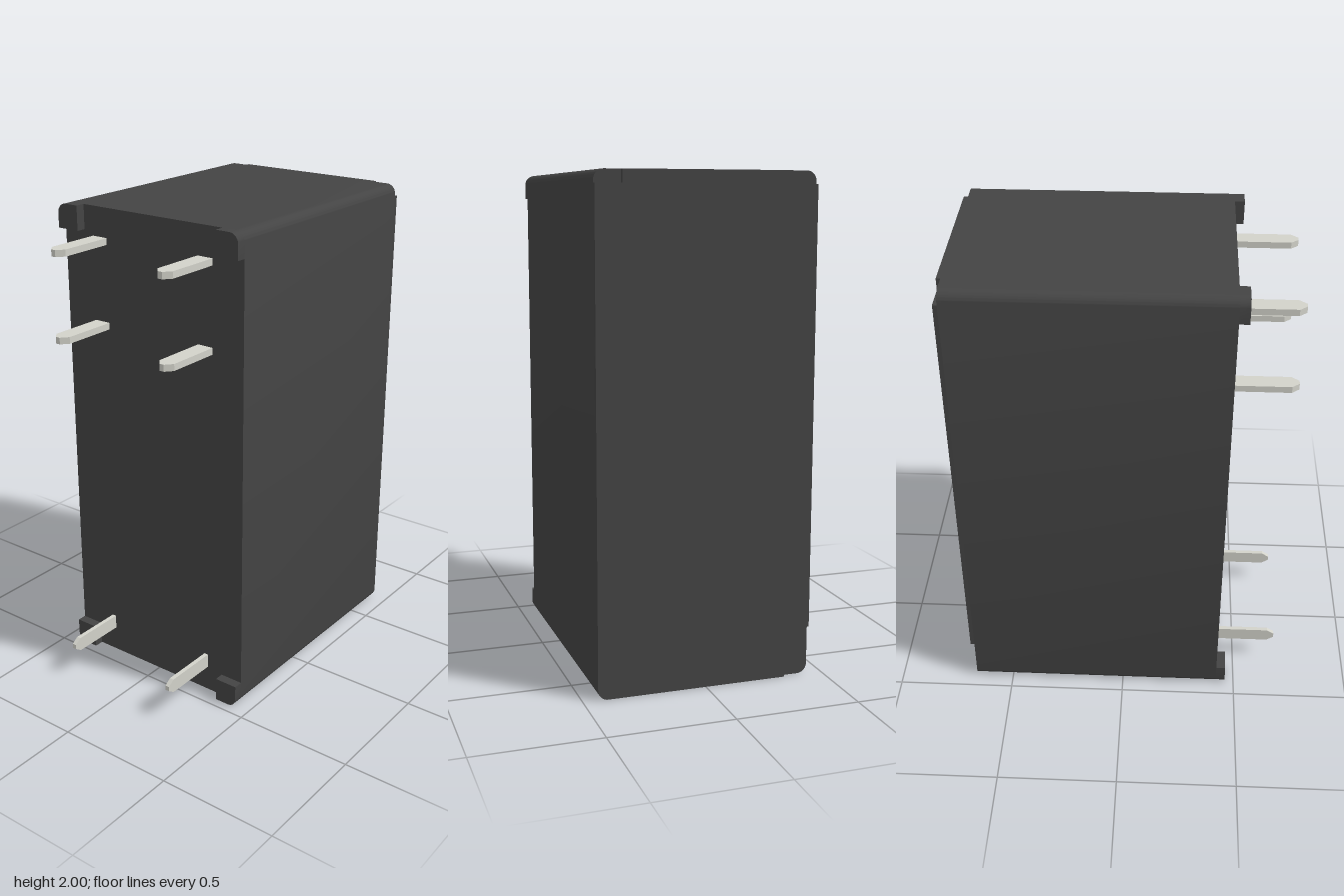
import * as THREE from 'three';
import { toCreasedNormals } from 'three/addons/utils/BufferGeometryUtils.js';

const W = 0.44, H = 2, R = 0.04;            // half width, height, long-edge radius
const BACK = -0.68, STEP = -0.663, FACE = 0.42, FOOT = 0.46, TIP = 0.68;

const caseMat = new THREE.MeshStandardMaterial({ color: 0x444444 });
const pinMat = new THREE.MeshStandardMaterial({ color: 0xd2d2ca });

// Extrude a shape along z between two depths, with smooth rounded corners
function slab(name, shape, z0, z1) {
  const raw = new THREE.ExtrudeGeometry(shape, { depth: z1 - z0, bevelEnabled: false, curveSegments: 8 });
  const mesh = new THREE.Mesh(toCreasedNormals(raw, Math.PI / 6), caseMat);
  mesh.position.z = z0;
  mesh.name = name;
  return mesh;
}

// Full outline of the case, rounded at all four corners
function caseShape() {
  const s = new THREE.Shape();
  s.absarc(W - R, R, R, -Math.PI / 2, 0);
  s.absarc(W - R, H - R, R, 0, Math.PI / 2);
  s.absarc(-W + R, H - R, R, Math.PI / 2, Math.PI);
  s.absarc(-W + R, R, R, Math.PI, Math.PI * 1.5);
  s.closePath();
  return s;
}

// Outline of the back panel, with three corners cut away
function backShape() {
  const n = 0.335, top = 1.95, low = 0.2;
  const s = new THREE.Shape();
  s.moveTo(-n, 0);
  s.lineTo(W - R, 0);
  s.absarc(W - R, R, R, -Math.PI / 2, 0);
  for (const [x, y] of [[W, top], [n, top], [n, H], [-n, H], [-n, top], [-W, top], [-W, low], [-n, low]]) s.lineTo(x, y);
  s.closePath();
  return s;
}

// Square foot at a corner, rounded on its outer corner
function footShape(sx, isTop) {
  const inner = 0.34, size = 0.1;
  const Y = y => (isTop ? H - y : y);
  const s = new THREE.Shape();
  s.moveTo(sx * inner, Y(0));
  s.lineTo(sx * (W - R), Y(0));
  for (let i = 1; i <= 8; i++) {
    const a = (i / 8) * Math.PI / 2;
    s.lineTo(sx * (W - R + R * Math.sin(a)), Y(R - R * Math.cos(a)));
  }
  s.lineTo(sx * W, Y(size));
  s.lineTo(sx * inner, Y(size));
  s.closePath();
  return s;
}

// Flat contact pin with a chamfered tip, pointing along +z
function pin(name, width, thick, x, y, upright) {
  const h = width / 2, tip = 0.01, z0 = FACE - 0.02;
  const s = new THREE.Shape([[-h, z0], [h, z0], [h, 0.65], [tip, TIP], [-tip, TIP], [-h, 0.65]]
    .map(([a, b]) => new THREE.Vector2(a, b)));
  const geo = new THREE.ExtrudeGeometry(s, { depth: thick, bevelEnabled: false });
  geo.translate(0, 0, -thick / 2).rotateX(Math.PI / 2);
  if (upright) geo.rotateZ(Math.PI / 2);
  const mesh = new THREE.Mesh(geo, pinMat);
  mesh.position.set(x, y, 0);
  mesh.name = name;
  return mesh;
}

export function createModel() {
  const model = new THREE.Group();
  model.name = 'relay';
  model.add(slab('caseBody', caseShape(), STEP, FACE));
  model.add(slab('backPanel', backShape(), BACK, STEP));

  for (const sx of [1, -1]) {
    const side = sx > 0 ? 'left' : 'right';
    for (const isTop of [false, true]) {
      model.add(slab(`${side}${isTop ? 'Upper' : 'Lower'}Foot`, footShape(sx, isTop), FACE, FOOT));
    }
    // Two flat contacts near the top, one upright coil pin at the bottom
    model.add(pin(`${side}UpperContact`, 0.07, 0.027, sx * 0.26, 1.867, false));
    model.add(pin(`${side}LowerContact`, 0.07, 0.027, sx * 0.26, 1.522, false));
    model.add(pin(`${side}CoilPin`, 0.06, 0.018, sx * 0.258, 0.14, true));
  }
  return model;
}
